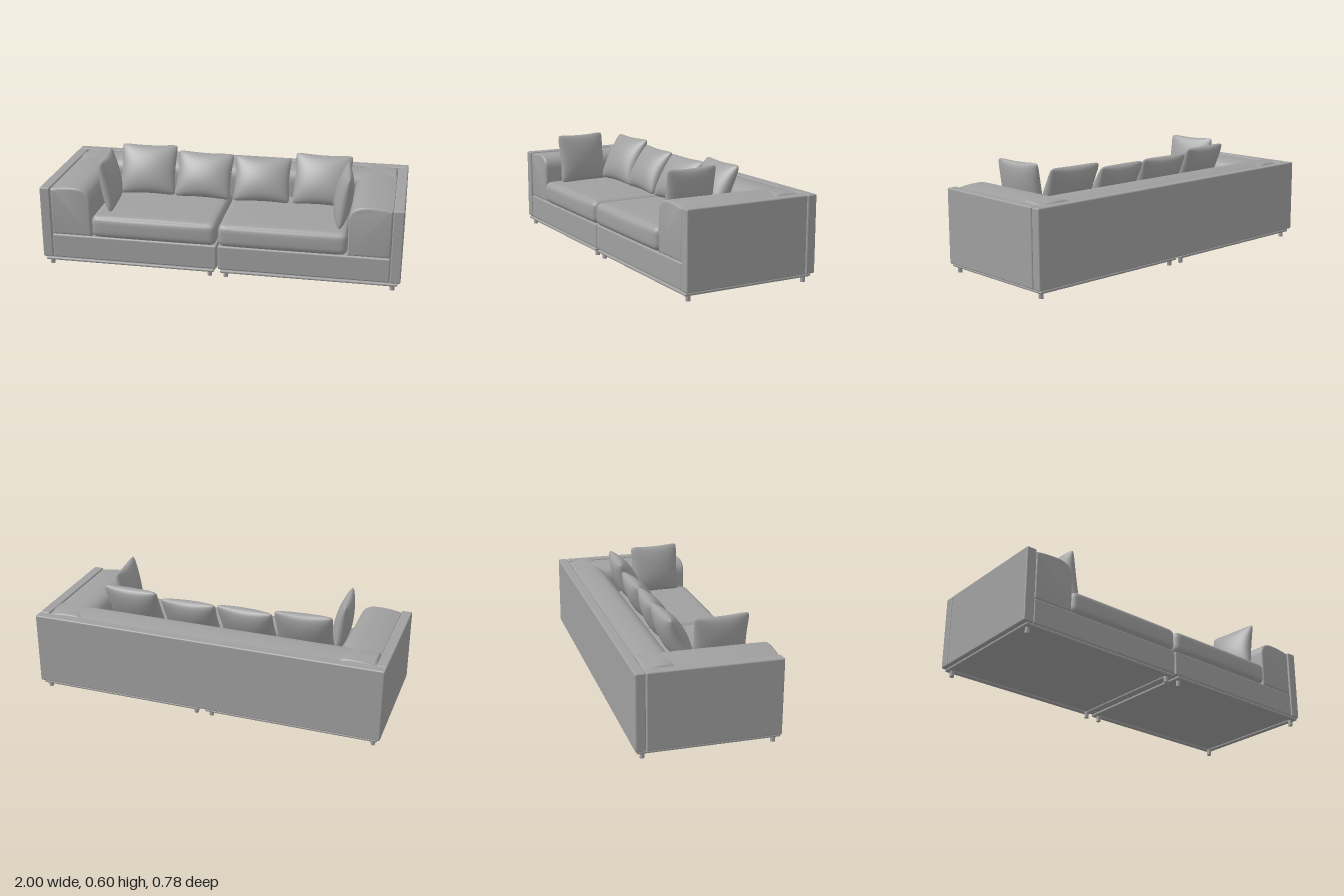
import * as THREE from 'three';
import { mergeGeometries, mergeVertices, toCreasedNormals } from 'three/addons/utils/BufferGeometryUtils.js';
import { RoundedBoxGeometry } from 'three/addons/geometries/RoundedBoxGeometry.js';

const fabric = new THREE.MeshStandardMaterial({ color: 0xa0a0a0 });
fabric.name = 'grey';

function add(parent, name, geometry, x = 0, y = 0, z = 0) {
  const mesh = new THREE.Mesh(geometry, fabric);
  mesh.name = name;
  mesh.position.set(x, y, z);
  parent.add(mesh);
  return mesh;
}

// Rounded block given by its limits
function block(parent, name, [x0, x1], [y0, y1], [z0, z1], r) {
  const g = new RoundedBoxGeometry(x1 - x0, y1 - y0, z1 - z0, 3, r);
  return add(parent, name, g, (x0 + x1) / 2, (y0 + y1) / 2, (z0 + z1) / 2);
}

function smooth(geometry) {
  geometry.deleteAttribute('uv');
  geometry.deleteAttribute('normal');
  const g = mergeVertices(geometry, 1e-5);
  g.computeVertexNormals();
  return g;
}

// Soft block: rounded edges, faces puffed outwards in the middle
function cushion(w, h, d, r, puff) {
  const g = new THREE.BoxGeometry(2, 2, 2, 28, 14, 28);
  const half = new THREE.Vector3(w / 2, h / 2, d / 2);
  const inner = half.clone().subScalar(r);
  const p = new THREE.Vector3(), s = new THREE.Vector3(), c = new THREE.Vector3();
  const pos = g.attributes.position;
  const ease = (t) => Math.sin(t * Math.PI / 2);
  for (let i = 0; i < pos.count; i++) {
    s.fromBufferAttribute(pos, i);
    s.set(ease(s.x), ease(s.y), ease(s.z));
    p.copy(s).multiply(half);
    c.copy(p).clamp(inner.clone().negate(), inner);
    p.sub(c).normalize().multiplyScalar(r).add(c);
    const fx = 1 - s.x ** 2, fy = 1 - s.y ** 2, fz = 1 - s.z ** 2;
    p.y += puff * s.y * Math.sqrt(fx * fz);
    p.z += puff * s.z * Math.sqrt(fx * fy);
    pos.setXYZ(i, p.x, p.y, p.z);
  }
  return smooth(g);
}

// Throw pillow: two puffed sheets joined at a pinched seam
function pillow(w, h, t) {
  const sheet = (side) => {
    const g = new THREE.PlaneGeometry(2, 2, 22, 22);
    const pos = g.attributes.position;
    for (let i = 0; i < pos.count; i++) {
      const u = Math.sin(pos.getX(i) * Math.PI / 2), v = Math.sin(pos.getY(i) * Math.PI / 2);
      const corner = 1 - 0.06 * Math.abs(u * v) ** 8;
      const x = u * w / 2 * corner * (1 - 0.07 * (1 - v * v));
      const y = v * h / 2 * corner * (1 - 0.07 * (1 - u * u));
      const room = Math.max(0, (1 - u * u) * (1 - v * v));
      pos.setXYZ(i, x, y, side * t / 2 * room ** 0.45 * (1 - 0.1 * v));
    }
    if (side < 0) g.setIndex(Array.from(g.index.array).reverse());
    return g;
  };
  return smooth(mergeGeometries([sheet(1), sheet(-1)]));
}

// Arm and back bolster: profile with a large rounded inner top edge, +x is the outer side
function bolster(width, length) {
  const b = 0.014, y0 = 0.19 + b, y1 = 0.472 - b, x0 = b, x1 = width - b;
  const s = new THREE.Shape();
  s.moveTo(x0, y0);
  s.lineTo(x1, y0);
  s.lineTo(x1, y1 - 0.012);
  s.quadraticCurveTo(width * 0.7, y1, width * 0.42, y1);
  s.bezierCurveTo(x0 + 0.03, y1, x0, y1 - 0.02, x0, y1 - 0.065);
  s.closePath();
  const g = new THREE.ExtrudeGeometry(s, {
    depth: length - 2 * b, bevelThickness: b, bevelSize: b, bevelSegments: 4, curveSegments: 10,
  });
  g.translate(0, 0, b - length / 2);
  return toCreasedNormals(g, 0.7);
}

export function createModel() {
  const sofa = new THREE.Group();
  sofa.name = 'sofa';

  // Outer shell
  block(sofa, 'backPanel', [-1, 1], [0.05, 0.465], [-0.39, -0.335], 0.008);
  const back = add(sofa, 'backBolster', bolster(0.195, 1.88), 0, 0, -0.14);
  back.rotation.y = Math.PI / 2;

  const legGeometry = new THREE.CylinderGeometry(0.0125, 0.0125, 0.036, 16);
  const seatGeometry = cushion(0.706, 0.128, 0.53, 0.035, 0.008);
  const armGeometry = bolster(0.23, 0.705);

  for (const side of [-1, 1]) {
    const unit = new THREE.Group();
    unit.name = side > 0 ? 'leftUnit' : 'rightUnit';
    sofa.add(unit);
    const span = (a, b) => (side > 0 ? [a, b] : [-b, -a]);

    block(unit, 'sidePanel', span(0.942, 1), [0.05, 0.465], [-0.333, 0.375], 0.008);
    block(unit, 'seatBase', span(0.003, 0.941), [0.05, 0.19], [-0.334, 0.372], 0.01);
    add(unit, 'seatCushion', seatGeometry, side * 0.357, 0.252, 0.116);
    const arm = add(unit, 'armBolster', armGeometry, side * 0.71, 0, 0.0185);
    if (side < 0) arm.rotation.y = Math.PI;

    // Base frame and legs
    for (const x of [0.016, 0.954]) {
      block(unit, 'frameSideRail', span(x, x + 0.03), [0.031, 0.047], [-0.378, 0.374], 0.0075);
    }
    for (const z of [-0.378, 0.344]) {
      block(unit, 'frameCrossRail', span(0.016, 0.984), [0.031, 0.047], [z, z + 0.03], 0.0075);
    }
    block(unit, 'underside', span(0.03, 0.97), [0.041, 0.055], [-0.36, 0.36], 0.002);
    for (const x of [0.045, 0.957]) {
      for (const z of [-0.346, 0.342]) add(unit, 'leg', legGeometry, side * x, 0.018, z);
    }
  }

  // Throw pillows: x, y, z, width, height, thickness, turn, lean
  const quarter = Math.PI / 2;
  const pillows = [
    [-0.487, 0.457, -0.06, 0.335, 0.3, 0.13, 0.06, 0.46],
    [-0.155, 0.444, -0.055, 0.335, 0.275, 0.13, -0.04, 0.5],
    [0.183, 0.44, -0.055, 0.33, 0.27, 0.13, 0.04, 0.5],
    [0.527, 0.457, -0.06, 0.335, 0.3, 0.13, -0.03, 0.46],
    [-0.656, 0.457, 0.15, 0.315, 0.3, 0.1, quarter + 0.09, 0.16],
    [0.667, 0.457, 0.165, 0.31, 0.3, 0.1, -quarter + 0.09, 0.16],
  ];
  for (const [x, y, z, w, h, t, turn, lean] of pillows) {
    const p = add(sofa, 'throwPillow', pillow(w, h, t), x, y, z);
    p.rotation.set(-lean, turn, 0, 'YXZ');
  }
  return sofa;
}
